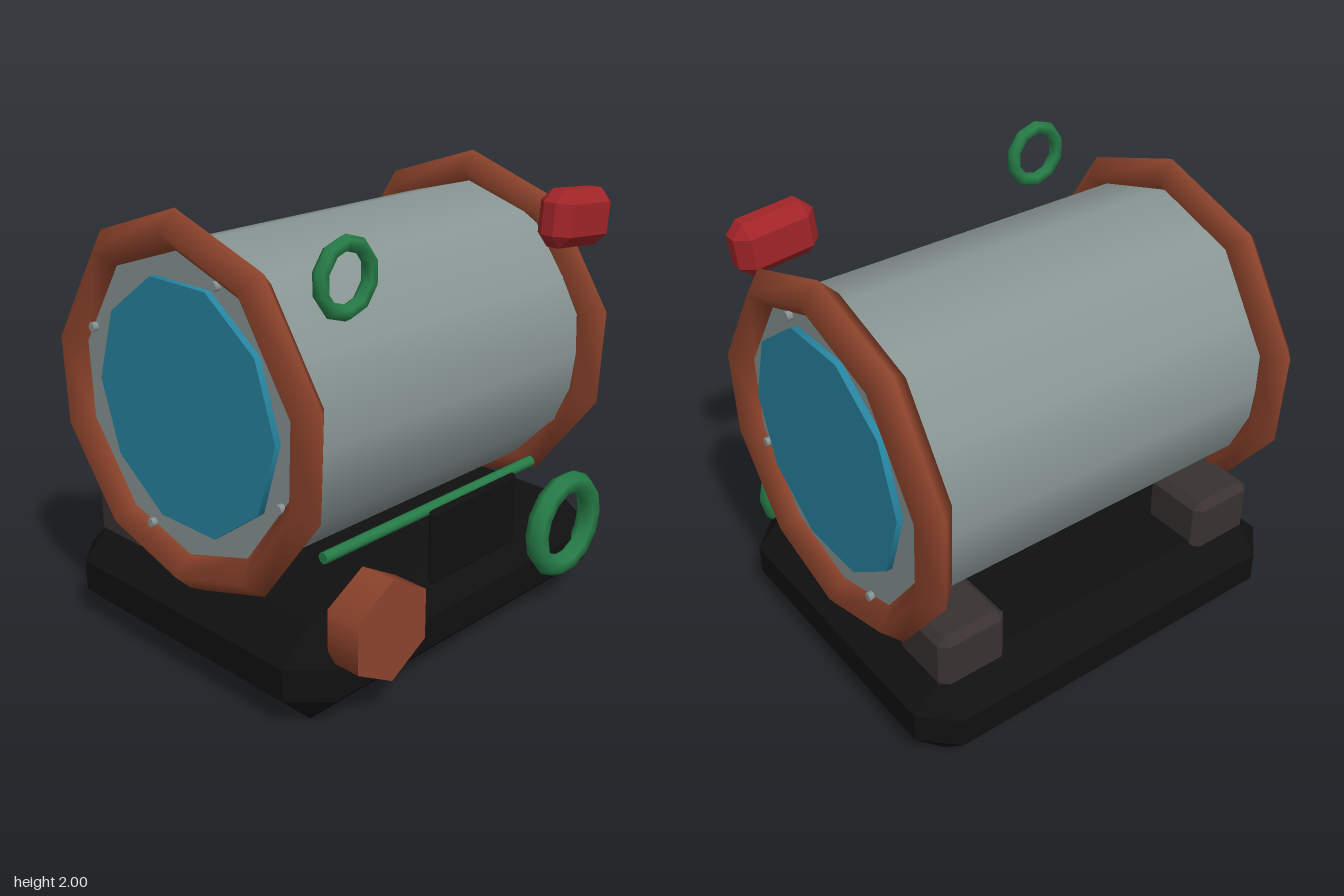
import * as THREE from 'three';
import { ConvexGeometry } from 'three/addons/geometries/ConvexGeometry.js';

const mat = (name, color) => {
  const m = new THREE.MeshStandardMaterial({ color });
  m.name = name;
  return m;
};

// Box with every edge and corner cut by c
function chamferBox(w, h, d, c) {
  const pts = [];
  for (const sx of [-1, 1]) for (const sy of [-1, 1]) for (const sz of [-1, 1]) {
    for (let k = 0; k < 3; k++) {
      const cut = [c, c, c];
      cut[k] = 0;
      pts.push(new THREE.Vector3(sx * (w / 2 - cut[0]), sy * (h / 2 - cut[1]), sz * (d / 2 - cut[2])));
    }
  }
  return new ConvexGeometry(pts);
}

// Diamond-section hoop with ten slightly uneven corners, axis along x
function hoopGeometry() {
  const g = new THREE.TorusGeometry(0.735, 0.085, 4, 10);
  const angles = [90, 127, 167, 198, 236, 270, 304, 342, 373, 413, 450];
  const axis = new THREE.Vector3(0, 0, 1), v = new THREE.Vector3();
  for (const attr of [g.attributes.position, g.attributes.normal]) {
    for (let i = 0; i < attr.count; i++) {
      const k = i % 11;
      v.fromBufferAttribute(attr, i).applyAxisAngle(axis, THREE.MathUtils.degToRad(angles[k] - k * 36));
      attr.setXYZ(i, v.x, v.y, v.z);
    }
  }
  return g.rotateY(Math.PI / 2);
}

// Cylinder lying along x
const rod = (r, len, sides) => new THREE.CylinderGeometry(r, r, len, sides).rotateZ(Math.PI / 2);

export function createModel() {
  const model = new THREE.Group();
  model.name = 'drumMachine';
  const steel = mat('steel grey', 0x889593);
  const copper = mat('copper brown', 0x8c432b);
  const glass = mat('blue glass', 0x2784a0);
  const green = mat('green', 0x267c47);
  const red = mat('red', 0xa02428);
  const black = mat('black', 0x101010);
  const dark = mat('dark brown grey', 0x393132);

  const add = (name, geometry, material, x, y, z) => {
    const m = new THREE.Mesh(geometry, material);
    m.name = name;
    m.position.set(x, y, z);
    model.add(m);
    return m;
  };

  // Base and drum
  add('base', chamferBox(1.98, 0.435, 1.6, 0.145), black, 0, 0.2175, -0.055);
  add('drum', rod(0.692, 1.8, 12), steel, 0, 1.167, -0.045);

  // Both drum ends: hoop, window and bolts; rear foot block below
  const bolts = [[1.74, 0.185], [1.405, -0.625], [0.93, 0.52], [0.6, -0.29]];
  for (const s of [-1, 1]) {
    const side = s > 0 ? 'left' : 'right';
    add(side + 'Hoop', hoopGeometry(), copper, s * 0.897, 1.18, -0.055);
    add(side + 'Window', rod(0.545, 0.03, 10), glass, s * 0.915, 1.193, -0.025);
    bolts.forEach(([y, z]) => add(side + 'Bolt', rod(0.021, 0.03, 6), steel, s * 0.91, y, z));
    add(side + 'Block', chamferBox(0.33, 0.275, 0.335, 0.035), dark, s * 0.705, 0.517, -0.588);
  }

  // Front fittings
  add('frontPlate', chamferBox(0.56, 0.34, 0.04, 0.018), black, -0.004, 0.608, 0.735);
  add('frontBar', rod(0.026, 1.37, 8), green, 0, 0.635, 0.52);
  add('hexKnob', new THREE.CylinderGeometry(0.225, 0.225, 0.165, 6).rotateX(Math.PI / 2), copper, -0.635, 0.418, 0.772);
  add('handWheel', new THREE.TorusGeometry(0.203, 0.052, 6, 14), green, 0.625, 0.415, 0.768);

  // Upper floating fittings
  add('smallRing', new THREE.TorusGeometry(0.131, 0.032, 6, 10).rotateZ(Math.PI / 10), green, -0.705, 1.823, 0.667);
  const lamp = add('redBlock', chamferBox(0.385, 0.25, 0.17, 0.055), red, 0.7, 1.823, 0.673);
  lamp.rotation.z = -0.1;

  return model;
}
